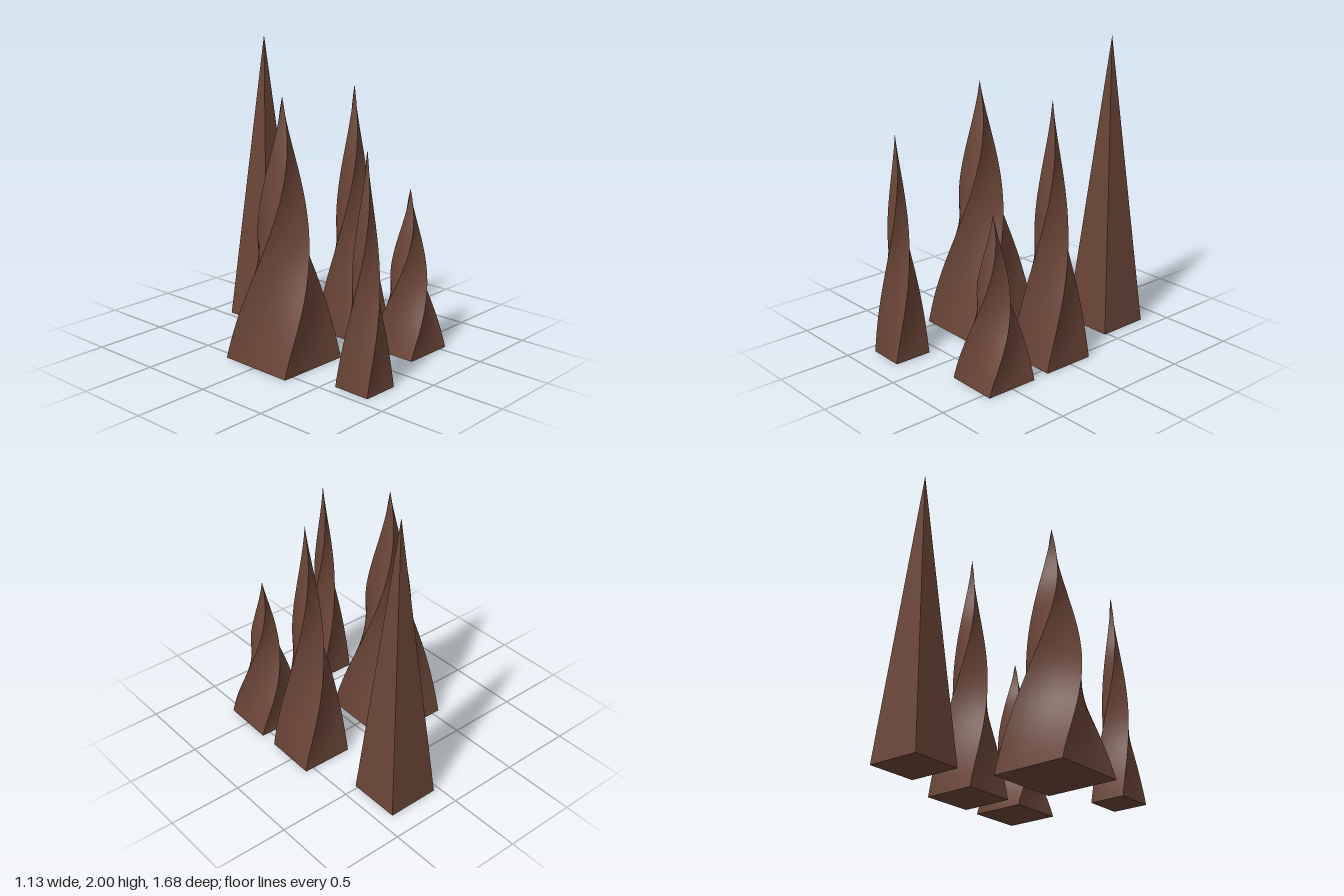
import * as THREE from 'three';

const ROWS = 40, COLS = 8;

// Square spire that tapers to a point while twisting about its axis.
// turn: twist in degrees reached at the tip; start: rotation of the base.
function spireGeometry(width, depth, height, turn, start) {
  const positions = [], index = [];
  const point = (x, z, t, quarter) => {
    const angle = THREE.MathUtils.degToRad(start + turn * Math.pow(t, 1.3)) + quarter * Math.PI / 2;
    const c = Math.cos(angle), s = Math.sin(angle), k = 1 - t;
    positions.push((x * c + z * s) * k * width / 2, t * height, (z * c - x * s) * k * depth / 2);
  };
  // four sides, each with its own vertices so the corners stay sharp
  for (let side = 0; side < 4; side++) {
    const first = positions.length / 3;
    for (let r = 0; r <= ROWS; r++) {
      for (let i = 0; i <= COLS; i++) point(-1 + 2 * i / COLS, 1, r / ROWS, side);
    }
    for (let r = 0; r < ROWS; r++) {
      for (let i = 0; i < COLS; i++) {
        const a = first + r * (COLS + 1) + i, d = a + COLS + 1;
        index.push(a, a + 1, d);
        if (r < ROWS - 1) index.push(a + 1, d + 1, d);
      }
    }
  }
  // base
  const b = positions.length / 3;
  for (const [x, z] of [[-1, -1], [1, -1], [1, 1], [-1, 1]]) point(x, z, 0, 0);
  index.push(b, b + 1, b + 2, b, b + 2, b + 3);

  const geometry = new THREE.BufferGeometry();
  geometry.setAttribute('position', new THREE.Float32BufferAttribute(positions, 3));
  geometry.setIndex(index);
  geometry.computeVertexNormals();
  return geometry;
}

export function createModel() {
  const group = new THREE.Group();
  group.name = 'rockSpires';
  const rock = new THREE.MeshStandardMaterial({ color: 0x6b4537 });
  rock.name = 'brown rock';

  // name, x, z, width, depth, height, twist, base rotation
  const spires = [
    ['straightSpire', 0.22, -0.66, 0.36, 0.36, 2.0, 0, 0],
    ['wideTwistedSpire', -0.305, 0.017, 0.515, 0.535, 1.72, 149, -1],
    ['tallTwistedSpire', 0.38, 0.016, 0.355, 0.363, 1.715, 149, -1],
    ['shortTwistedSpire', 0.38, 0.498, 0.355, 0.363, 1.09, 149, -1],
    ['thinTwistedSpire', -0.305, 0.703, 0.247, 0.26, 1.485, 149, -1],
  ];
  for (const [name, x, z, width, depth, height, turn, start] of spires) {
    const mesh = new THREE.Mesh(spireGeometry(width, depth, height, turn, start), rock);
    mesh.name = name;
    mesh.position.set(x, 0, z);
    group.add(mesh);
  }
  return group;
}
